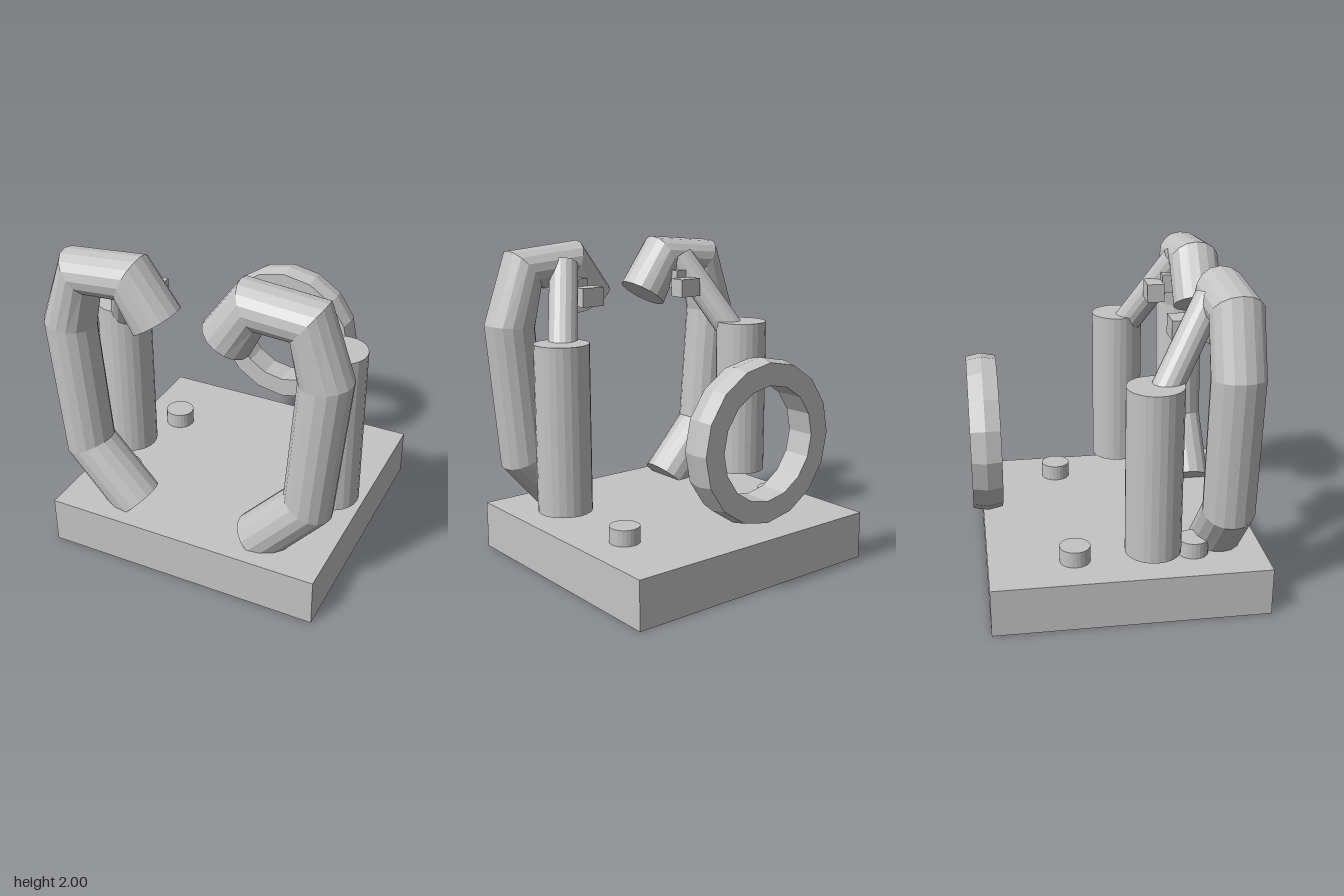
import * as THREE from 'three';

const grey = new THREE.MeshStandardMaterial({ color: 0xc4c4c4 });

// Faceted mesh: one normal per face
function part(name, geometry, parent, x = 0, y = 0, z = 0) {
  const flat = geometry.index ? geometry.toNonIndexed() : geometry;
  flat.computeVertexNormals();
  const mesh = new THREE.Mesh(flat, grey);
  mesh.name = name;
  mesh.position.set(x, y, z);
  parent.add(mesh);
  return mesh;
}

// Bent closed pipe in the XY plane: cylinder rows are moved onto path points
function bentPipe(path, radius, sides) {
  const n = path.length - 1;
  const geo = new THREE.CylinderGeometry(1, 1, 1, sides, n);
  const pos = geo.attributes.position;
  const tangents = path.map((p, i) => {
    const t = new THREE.Vector2();
    if (i > 0) t.add(p.clone().sub(path[i - 1]).normalize());
    if (i < n) t.add(path[i + 1].clone().sub(p).normalize());
    return t.normalize();
  });
  for (let v = 0; v < pos.count; v++) {
    const i = Math.round((0.5 - pos.getY(v)) * n);
    const a = pos.getX(v) * radius;
    const t = tangents[i];
    pos.setXYZ(v, path[i].x - t.y * a, path[i].y + t.x * a, pos.getZ(v) * radius);
  }
  return geo;
}

// Straight cylinder between two points
function rod(name, from, to, radius, sides, parent) {
  const dir = to.clone().sub(from);
  const mid = from.clone().add(to).multiplyScalar(0.5);
  const mesh = part(name, new THREE.CylinderGeometry(radius, radius, dir.length(), sides), parent, mid.x, mid.y, mid.z);
  mesh.quaternion.setFromUnitVectors(new THREE.Vector3(0, 1, 0), dir.normalize());
}

export function createModel() {
  const model = new THREE.Group();
  model.name = 'mechanicalStand';

  // Base slab
  part('base', new THREE.BoxGeometry(1.76, 0.3, 1.67), model, 0, 0.15, 0.03);

  // Ring at the back with a ridged outer rim
  const profile = [[0.34, -0.09], [0.472, -0.09], [0.49, 0], [0.472, 0.09], [0.34, 0.09], [0.34, -0.09]]
    .map(([r, h]) => new THREE.Vector2(r, h));
  const ring = part('ring', new THREE.LatheGeometry(profile, 16), model, 0, 0.915, -0.778);
  ring.rotation.x = Math.PI / 2;

  for (const side of [1, -1]) {
    const half = new THREE.Group();
    half.name = side > 0 ? 'leftSide' : 'rightSide';
    model.add(half);

    // Bent arm
    const path = [[0.416, 0.295], [0.735, 0.65], [0.808, 1.49], [0.705, 1.83], [0.374, 1.855], [0.22, 1.618]]
      .map(([x, y]) => new THREE.Vector2(x * side, y));
    part('arm', bentPipe(path, 0.157, 16), half, 0, 0, 0.61);

    // Column and the slanted strut reaching from it to the arm
    part('column', new THREE.CylinderGeometry(0.167, 0.167, 1.03, 24), half, side * 0.717, 0.92, 0.165);
    rod('strut', new THREE.Vector3(side * 0.715, 1.28, 0.165),
      new THREE.Vector3(side * 0.465, 1.855, 0.513), 0.09, 16, half);

    // Stepped blocks tucked under the arm
    for (let i = 0; i < 3; i++) {
      part('stepBlock', new THREE.BoxGeometry(0.155, 0.117, 0.11), half,
        side * (0.39 + i * 0.044), 1.668 + i * 0.048, 0.357 + i * 0.105);
    }

    // Round pegs on the base
    for (const z of [-0.285, 0.435]) {
      part('peg', new THREE.CylinderGeometry(0.093, 0.093, 0.12, 24), half, side * 0.598, 0.34, z);
    }
  }
  return model;
}
